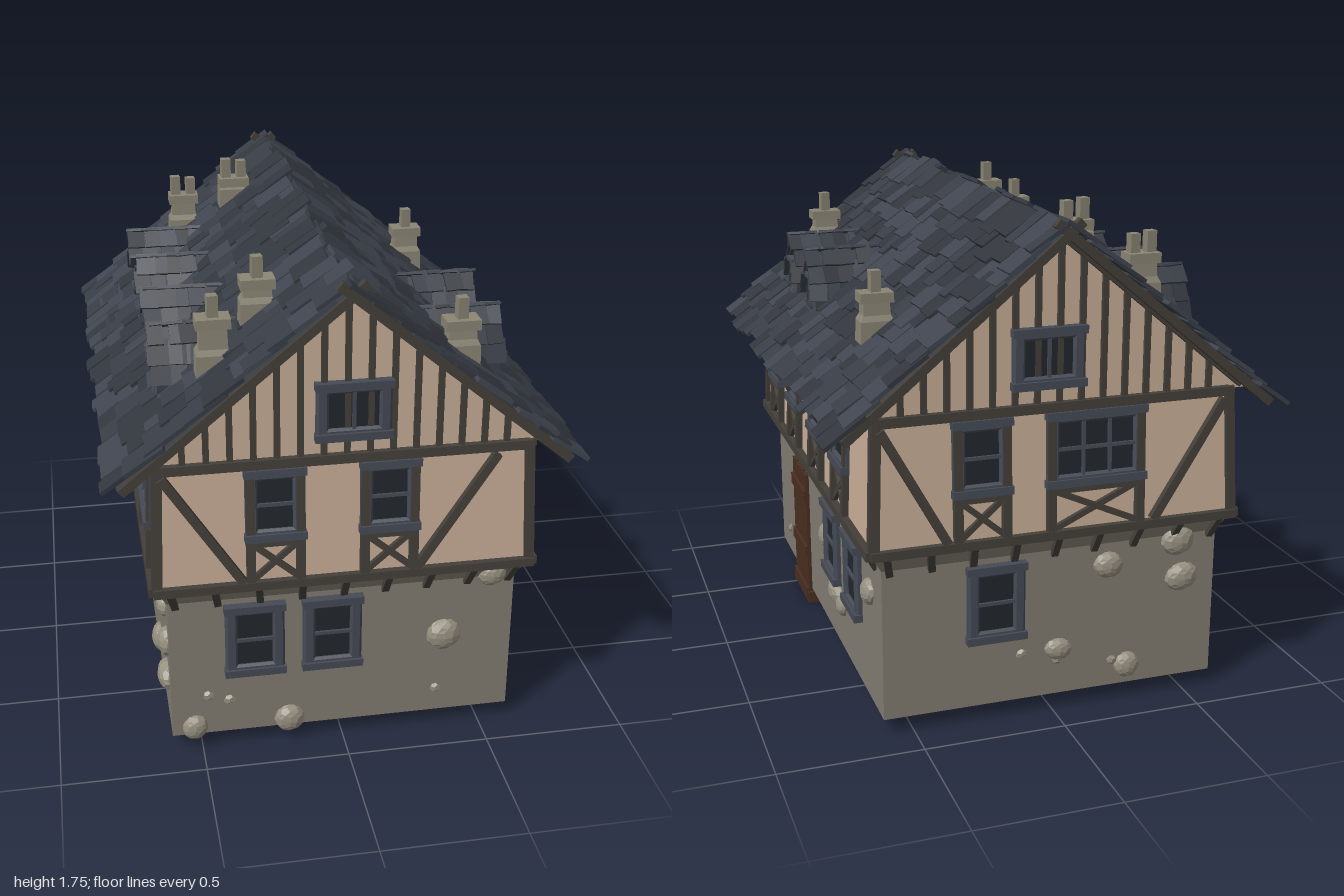
import * as THREE from 'three';
import { mergeGeometries } from 'three/addons/utils/BufferGeometryUtils.js';

const mat = (color) => new THREE.MeshStandardMaterial({ color, flatShading: true, side: THREE.DoubleSide });
const M = {
  stone: mat(0x827d72), plaster: mat(0xc9ae97), timber: mat(0x443f39), frame: mat(0x454a55), glass: mat(0x22262b),
  door: mat(0x4a2f21), chimney: mat(0x8a8574), rock: mat(0x969080), roof: mat(0x363a42),
};
const tileMats = [mat(0x383d46), mat(0x40454f), mat(0x32363d)];
const RIDGE = 1.715, SLOPE = 0.83, PITCH = Math.atan(SLOPE);

let seed = 7;
const rnd = (a, b) => { seed = (seed * 16807) % 2147483647; return a + (b - a) * seed / 2147483647; };

function add(parent, name, geo, material, x = 0, y = 0, z = 0) {
  const m = new THREE.Mesh(geo, material);
  m.name = name;
  m.position.set(x, y, z);
  parent.add(m);
  return m;
}
const box = (parent, name, w, h, d, material, x, y, z) => add(parent, name, new THREE.BoxGeometry(w, h, d), material, x, y, z);

function group(parent, name) {
  const g = new THREE.Group();
  g.name = name;
  parent.add(g);
  return g;
}

// Straight timber between two points of a wall plane
function beam(parent, name, x1, y1, x2, y2, w = 0.03, z = 0.008, d = 0.03) {
  const m = box(parent, name, Math.hypot(x2 - x1, y2 - y1), w, d, M.timber, (x1 + x2) / 2, (y1 + y2) / 2, z);
  m.rotation.z = Math.atan2(y2 - y1, x2 - x1);
}

// Rectangular rings [halfX, halfZ, y] joined into open-ended walls
function loft(rings) {
  const pos = [], idx = [];
  for (const [a, b, y] of rings) pos.push(-a, y, b, a, y, b, a, y, -b, -a, y, -b);
  for (let r = 0; r < rings.length - 1; r++) for (let i = 0; i < 4; i++) {
    const p = r * 4 + i, q = r * 4 + (i + 1) % 4;
    idx.push(p, q, q + 4, p, q + 4, p + 4);
  }
  const indexed = new THREE.BufferGeometry();
  indexed.setAttribute('position', new THREE.Float32BufferAttribute(pos, 3));
  indexed.setIndex(idx);
  const g = indexed.toNonIndexed();
  g.computeVertexNormals();
  return g;
}

// Wall-aligned frame: local x along the wall, y up, z outward; leans inward above baseY
function wallFrame(root, name, angle, dist, baseY = 0, lean = 0) {
  const outer = group(root, name), inner = group(outer, name + 'Parts');
  outer.rotation.order = 'YXZ';
  outer.rotation.set(-lean, angle, 0);
  outer.position.set(Math.sin(angle) * dist, baseY, Math.cos(angle) * dist);
  inner.position.y = -baseY;
  return inner;
}

function windowUnit(parent, x, y, w, h, cols = 1, rows = 2, f = 0.034) {
  const g = group(parent, 'window');
  g.position.set(x, y, 0);
  const rect = (T, a, b) => new T().moveTo(-a, -b).lineTo(a, -b).lineTo(a, b).lineTo(-a, b).lineTo(-a, -b);
  const shape = rect(THREE.Shape, w / 2 - 0.008, h / 2 - 0.008);
  shape.holes.push(rect(THREE.Path, w / 2 - f, h / 2 - f));
  const geo = new THREE.ExtrudeGeometry(shape, { depth: 0.022, bevelSize: 0.008, bevelThickness: 0.008, bevelSegments: 1 });
  add(g, 'windowFrame', geo, M.frame, 0, 0, -0.008);
  for (const s of [-1, 1]) box(g, s > 0 ? 'lintel' : 'sill', w + 0.008, f * 0.8, 0.036, M.frame, 0, s * (h / 2 - f * 0.4), 0.014);
  box(g, 'glass', w - f, h - f, 0.008, M.glass, 0, 0, 0.006);
  for (let i = 1; i < cols; i++) box(g, 'mullion', 0.012, h - f, 0.014, M.frame, (i / cols - 0.5) * (w - 2 * f), 0, 0.012);
  for (let i = 1; i < rows; i++) box(g, 'glazingBar', w - f, 0.012, 0.014, M.frame, 0, (i / rows - 0.5) * (h - 2 * f), 0.012);
}

// Upper-storey window with posts and a crossed panel beneath
function timberedWindow(parent, x, w, cols) {
  windowUnit(parent, x, 0.97, w, 0.26, cols);
  const a = w / 2 - 0.016, top = 0.832;
  for (const s of [-1, 1]) {
    beam(parent, 'windowPost', x + s * a, 0.67, x + s * a, 1.11);
    beam(parent, 'crossBrace', x - s * a, 0.69, x + s * a, top, 0.02, 0.005, 0.022);
  }
  beam(parent, 'panelRail', x - a, top, x + a, top, 0.025);
}

// Flattened boulder set into a wall
function rock(parent, x, y, r) {
  const m = add(parent, 'wallStone', new THREE.DodecahedronGeometry(r, r > 0.03 ? 1 : 0), M.rock, x, y, 0);
  m.scale.set(rnd(0.9, 1.15), rnd(0.75, 1), 0.6);
  m.rotation.z = rnd(-0.7, 0.7);
}

// Shingles collected by shade and merged
function tileSet(parent, name) {
  const bins = tileMats.map(() => []), o = new THREE.Object3D();
  return {
    put(w, t, l, x, y, z, rx, ry, rz) {
      o.position.set(x, y, z);
      o.rotation.set(rx, ry, rz);
      o.updateMatrix();
      bins[Math.floor(rnd(0, 2.999))].push(new THREE.BoxGeometry(w, t, l).applyMatrix4(o.matrix));
    },
    done() { bins.forEach((b, i) => b.length && add(parent, name, mergeGeometries(b), tileMats[i])); },
  };
}

function roofSlope(root, angle) {
  const turn = group(root, 'roofSlope'), g = group(turn, 'roofPlane');
  turn.rotation.y = angle;
  g.position.y = RIDGE;
  g.rotation.z = -PITCH;
  box(g, 'roofBoards', 0.98, 0.02, 1.92, M.roof, 0.49, -0.01, 0);
  for (const z of [-0.955, 0.955]) box(g, 'bargeboard', 1.02, 0.03, 0.03, M.timber, 0.465, -0.015, z);
  const tiles = tileSet(g, 'roofTiles');
  for (let r = 0; r < 11; r++) {
    for (let z = -0.985 + rnd(0, 0.03); z < 0.95;) {
      const w = Math.min(rnd(0.06, 0.13), 0.99 - z);
      tiles.put(rnd(0.13, 0.165), 0.014, w, 0.06 + r * 0.0875 + rnd(-0.022, 0.022), 0.013 + rnd(0, 0.008), z + w / 2, 0, rnd(-0.05, 0.05), rnd(0.05, 0.11));
      z += w + 0.002;
    }
  }
  tiles.done();
}

// Pointed-arch dormer, facing local +z
function dormer(root, side, z) {
  const g = group(root, 'dormer');
  g.position.set(side * 0.57, 1.23, z);
  g.rotation.y = side * Math.PI / 2;
  const arch = (T, w, h) => new T().moveTo(-w, 0).quadraticCurveTo(-w, h * 0.6, 0, h).quadraticCurveTo(w, h * 0.6, w, 0).lineTo(-w, 0);
  const extrude = (shape, depth) => new THREE.ExtrudeGeometry(shape, { depth, bevelEnabled: false, curveSegments: 6 });
  add(g, 'dormerWall', extrude(arch(THREE.Shape, 0.08, 0.22), 0.25), M.plaster, 0, 0, -0.25);
  const rim = arch(THREE.Shape, 0.09, 0.238);
  rim.holes.push(arch(THREE.Path, 0.079, 0.218));
  add(g, 'dormerRim', extrude(rim, 0.29), M.roof, 0, 0, -0.27);
  windowUnit(g, 0, 0.08, 0.1, 0.15, 1, 1, 0.022);
  const curve = new THREE.QuadraticBezierCurve(new THREE.Vector2(0.094, 0), new THREE.Vector2(0.094, 0.14), new THREE.Vector2(0, 0.244));
  const tiles = tileSet(g, 'dormerTiles');
  for (const s of [-1, 1]) for (const t of [0.4, 0.65, 0.9]) for (let k = 0; k < 5; k++) {
    const p = curve.getPoint(t), d = curve.getTangent(t);
    tiles.put(0.085, 0.01, rnd(0.05, 0.075), s * (p.x + 0.004), p.y, 0.005 - k * 0.058 + rnd(-0.012, 0.012), rnd(-0.05, 0.05), rnd(-0.1, 0.1), s * (Math.atan2(d.y, d.x) + Math.PI + 0.12));
  }
  tiles.done();
}

function chimney(root, x, z, top, pots) {
  const g = group(root, 'chimney');
  g.position.set(x, 0, z);
  const base = RIDGE - Math.abs(x) * SLOPE - 0.08;
  add(g, 'chimneyStack', loft([[0.063, 0.042, base], [0.058, 0.04, base + 0.14], [0.048, 0.031, base + 0.16], [0.045, 0.029, top - 0.03]]), M.chimney);
  box(g, 'chimneyCap', 0.116, 0.035, 0.078, M.chimney, 0, top - 0.018, 0);
  for (let i = 0; i < pots; i++) box(g, 'chimneyPot', 0.036, 0.08 - i * 0.015, 0.034, M.chimney, (i - (pots - 1) / 2) * 0.06, top + 0.032, 0).rotation.y = 0.1;
}

function door(parent, x) {
  const g = group(parent, 'door');
  g.position.x = x;
  box(g, 'doorBacking', 0.25, 0.54, 0.06, M.door, 0, 0.275, -0.03);
  for (let i = 0; i < 4; i++) box(g, 'doorPlank', 0.06, 0.545 - (i % 2) * 0.008, 0.02, M.door, (i - 1.5) * 0.0635, 0.28, 0.004);
  for (const y of [0.04, 0.22, 0.46]) box(g, 'doorBatten', 0.25, 0.045, 0.014, M.door, 0, y, 0.016);
  box(g, 'doorStep', 0.28, 0.045, 0.06, M.door, 0, 0.025, -0.01);
}

// Gable with rafters and studs around the attic window
function gableEnd(root, name, angle, atticX) {
  const g = wallFrame(root, name, angle, 0.887);
  const tri = new THREE.Shape().moveTo(-0.69, 1.12).lineTo(0.69, 1.12).lineTo(0, RIDGE - 0.02);
  add(g, 'gableWall', new THREE.ShapeGeometry(tri), M.plaster);
  beam(g, 'gableBeam', -0.62, 1.12, 0.62, 1.12, 0.025);
  for (let k = -7; k <= 7; k++) {
    const x = k * 0.077;
    beam(g, 'gableStud', x, 1.12, x, RIDGE - 0.03 - Math.abs(x) * SLOPE, 0.02, 0.004, 0.02);
  }
  for (const e of [-1, 1]) beam(g, 'gableRafter', e * 0.66, 1.14, 0, RIDGE - 0.03);
  windowUnit(g, atticX, 1.285, 0.25, 0.205, 2, 1);
}

// One side of both storeys; positions run along the wall, braces are [top, foot]
function buildSide(root, i, { name, low, up, wide = [], braces = [], rocks }) {
  const angle = i * Math.PI / 2, endWall = i % 2 === 0;
  const dist = endWall ? 0.87 : 0.605, half = endWall ? 0.642 : 0.907;
  const lower = wallFrame(root, name + 'LowerWall', angle, dist);
  low.forEach(x => windowUnit(lower, x, 0.44, 0.205, 0.28));
  rocks.forEach(([x, y], k) => rock(lower, x, y, 0.05 + (k % 3) * 0.007));
  for (let k = 0; k < 3; k++) rock(lower, rnd(-0.9, 0.9) * (half - 0.05), rnd(0.12, 0.26), 0.02);
  const n = endWall ? 9 : 12;
  for (let k = 0; k < n; k++) {
    const off = k - (n - 1) / 2;
    box(lower, 'jettyBracket', 0.024, 0.1, 0.03, M.timber, off * 0.147, 0.63, 0.02).rotation.set(0.5, 0, off * -0.05);
  }
  const upper = wallFrame(root, name + 'UpperWall', angle, dist + 0.037, 0.67, 0.043);
  beam(upper, 'sillBeam', -half - 0.01, 0.675, half + 0.01, 0.675, 0.03, 0.005, 0.04);
  beam(upper, 'topBeam', -half + 0.02, 1.115, half - 0.02, 1.115);
  for (const e of [-1, 1]) beam(upper, 'cornerPost', e * (half - 0.005), 0.67, e * (half - 0.024), 1.13, 0.03, 0);
  up.forEach(x => timberedWindow(upper, x, 0.2, 1));
  wide.forEach(x => timberedWindow(upper, x, 0.35, 3));
  braces.forEach(([top, foot]) => beam(upper, 'diagonalBrace', top, 1.09, foot, 0.69));
  return lower;
}

export function createModel() {
  const root = new THREE.Group();
  root.name = 'timberFramedHouse';
  add(root, 'lowerWalls', loft([[0.605, 0.87, 0.06], [0.605, 0.87, 0.6], [0.642, 0.907, 0.67]]), M.stone);
  add(root, 'upperWalls', loft([[0.642, 0.907, 0.67], [0.62, 0.885, 1.18]]), M.plaster);

  buildSide(root, 0, { name: 'front', low: [-0.31, -0.04], up: [-0.24, 0.145], braces: [[-0.61, -0.35], [0.51, 0.24]],
    rocks: [[-0.525, 0.09], [-0.19, 0.09], [0.36, 0.38], [0.525, 0.61]] });
  const right = buildSide(root, 1, { name: 'right', low: [0.17, 0.495], up: [-0.66, -0.3, 0.097, 0.475],
    rocks: [[0.03, 0.41], [0.71, 0.465], [0.215, 0.26], [0.3, 0.235]] });
  door(right, -0.4);
  buildSide(root, 2, { name: 'back', low: [-0.21], up: [-0.27], wide: [0.13], braces: [[-0.61, -0.39], [0.6, 0.34]],
    rocks: [[0.02, 0.23], [0.2, 0.52], [0.46, 0.58], [0.28, 0.13], [0.48, 0.44]] });
  buildSide(root, 3, { name: 'left', low: [0.03], up: [0], wide: [-0.62, 0.6], braces: [[-0.4, -0.14], [0.4, 0.14]],
    rocks: [[0.73, 0.52], [0.78, 0.4], [0.76, 0.25], [0.37, 0.45], [0.43, 0.19], [-0.44, 0.45]] });
  gableEnd(root, 'frontGable', 0, 0.02);
  gableEnd(root, 'backGable', Math.PI, -0.04);

  for (const a of [0, Math.PI]) roofSlope(root, a);
  for (const z of [-0.51, -0.18, 0.18, 0.53]) dormer(root, -1, z);
  for (const z of [0.18, 0.53]) dormer(root, 1, z);
  chimney(root, -0.41, 0.7, 1.56, 1);
  chimney(root, -0.37, -0.69, 1.57, 2);
  chimney(root, -0.25, 0.6, 1.65, 1);
  chimney(root, -0.18, -0.55, 1.67, 2);
  chimney(root, 0.4, 0.77, 1.53, 1);
  chimney(root, 0.51, -0.48, 1.45, 1);
  return root;
}
